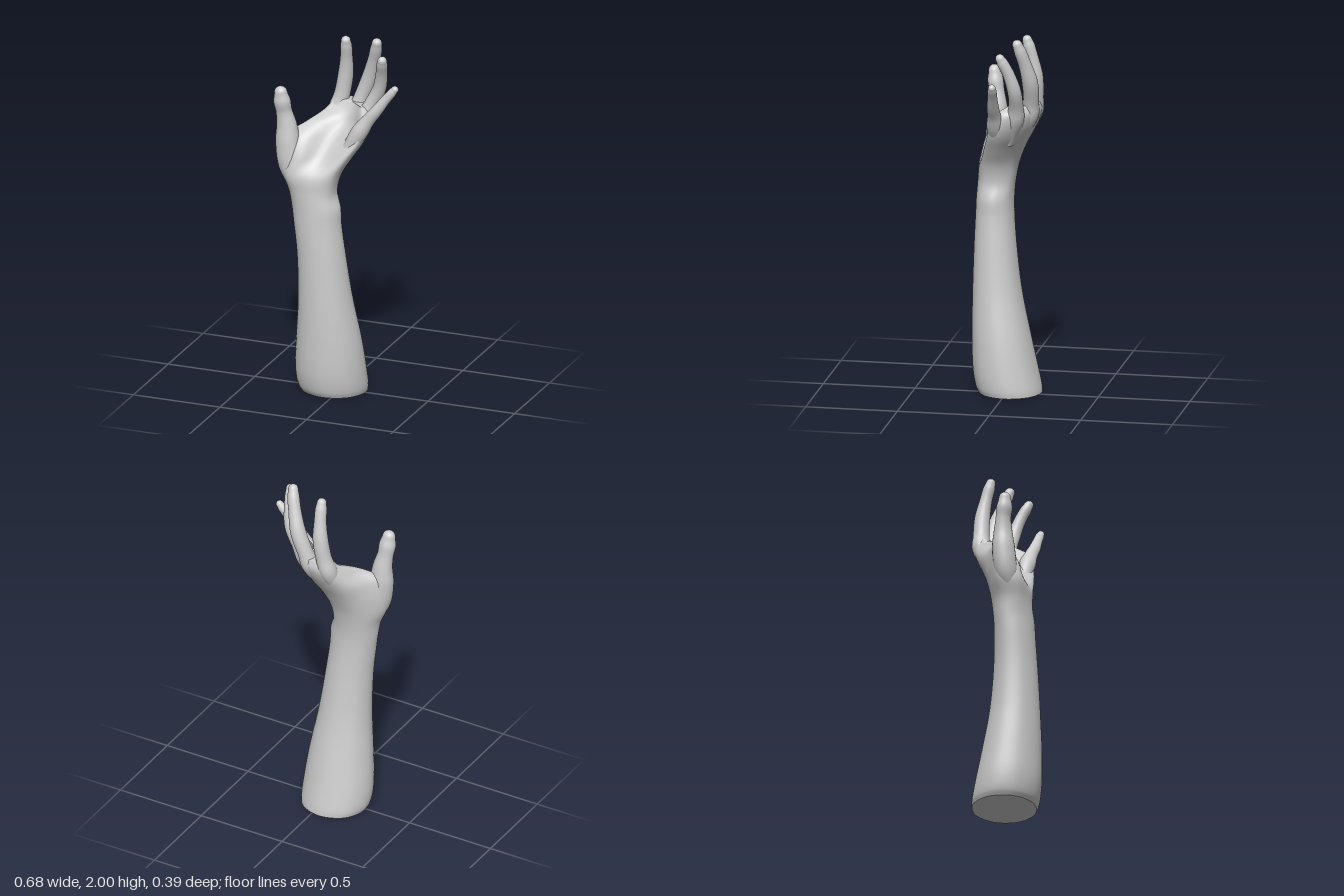
import * as THREE from 'three';

const skin = new THREE.MeshStandardMaterial({ color: 0xcccccc });

// Skin a stack of equal rings (each running -x, -z, +x, +z); close the top, optionally the bottom.
function loft(name, rings, flatBottom) {
  const n = rings[0].length, pos = [], idx = [];
  const add = (p) => pos.push(p.x, p.y, p.z) / 3 - 1;
  const middle = (ring) => ring.reduce((s, p) => s.add(p), new THREE.Vector3()).divideScalar(n);
  rings.forEach((ring) => ring.forEach(add));
  for (let i = 0; i < rings.length - 1; i++) {
    for (let j = 0; j < n; j++) {
      const a = i * n + j, b = i * n + (j + 1) % n;
      idx.push(a, a + n, b, b, a + n, b + n);
    }
  }
  const last = (rings.length - 1) * n;
  const top = add(middle(rings[rings.length - 1]));
  for (let j = 0; j < n; j++) idx.push(top, last + (j + 1) % n, last + j);
  if (flatBottom) {
    // Separate corners keep the cut edge sharp
    const start = pos.length / 3;
    rings[0].forEach(add);
    const c = add(middle(rings[0]));
    for (let j = 0; j < n; j++) idx.push(c, start + j, start + (j + 1) % n);
  }
  const geo = new THREE.BufferGeometry();
  geo.setAttribute('position', new THREE.Float32BufferAttribute(pos, 3));
  geo.setIndex(idx);
  geo.computeVertexNormals();
  const mesh = new THREE.Mesh(geo, skin);
  mesh.name = name;
  return mesh;
}

// Forearm and wrist levels: y, x min, x max, z min, z max
const ARM = [
  [0, -0.23, 0.14, -0.185, 0.16],
  [0.03, -0.243, 0.145, -0.182, 0.175],
  [0.12, -0.25, 0.143, -0.162, 0.192],
  [0.3, -0.237, 0.125, -0.122, 0.198],
  [0.55, -0.217, 0.083, -0.07, 0.197],
  [0.8, -0.22, 0.05, -0.037, 0.192],
  [0.97, -0.238, 0.03, -0.022, 0.187],
  [1.06, -0.25, 0.026, -0.02, 0.184],
];

// Palm levels: y, then eight x, z pairs: thumb edge, back of thumb, index back,
// ring back, little-finger edge, heel, hollow of the palm, thumb pad
const PALM = [
  [1.15, -0.265, 0.09, -0.225, 0.01, -0.14, -0.026, -0.045, -0.01, 0, 0.06, -0.02, 0.14, -0.11, 0.178, -0.22, 0.163],
  [1.25, -0.305, 0.09, -0.25, 0.01, -0.15, -0.045, -0.04, -0.03, 0.02, 0.05, 0, 0.135, -0.1, 0.165, -0.24, 0.175],
  [1.35, -0.315, 0.09, -0.25, 0, -0.14, -0.082, -0.01, -0.068, 0.078, 0.03, 0.055, 0.115, -0.08, 0.09, -0.2, 0.157],
  [1.44, -0.3, 0.08, -0.24, 0, -0.13, -0.125, 0.03, -0.115, 0.135, 0.005, 0.115, 0.085, -0.04, 0.02, -0.19, 0.11],
  [1.51, -0.2, 0.025, -0.175, -0.035, -0.115, -0.155, 0.045, -0.155, 0.16, -0.015, 0.14, 0.068, 0.01, -0.04, -0.14, 0.025],
  [1.57, -0.115, -0.085, -0.115, -0.12, -0.085, -0.175, 0.055, -0.174, 0.16, -0.035, 0.14, 0.04, 0.035, -0.065, -0.07, -0.08],
  [1.615, -0.09, -0.115, -0.09, -0.14, -0.06, -0.17, 0.055, -0.165, 0.12, -0.07, 0.11, -0.03, 0.04, -0.09, -0.05, -0.11],
];

function armAndPalm() {
  const levels = ARM.map(([y, x0, x1, z0, z1]) => Array.from({ length: 8 }, (_, k) => {
    const t = k * Math.PI / 4;
    return new THREE.Vector3((x0 + x1) / 2 - (x1 - x0) / 2 * Math.cos(t), y, (z0 + z1) / 2 - (z1 - z0) / 2 * Math.sin(t));
  }));
  PALM.forEach(([y, ...p]) => levels.push(Array.from({ length: 8 }, (_, k) => new THREE.Vector3(p[2 * k], y, p[2 * k + 1]))));
  // Smooth up the eight columns, then around each ring
  const columns = levels[0].map((_, k) => new THREE.CatmullRomCurve3(levels.map((l) => l[k])));
  const steps = (levels.length - 1) * 6, rings = [];
  for (let i = 0; i <= steps; i++) {
    const loop = new THREE.CatmullRomCurve3(columns.map((c) => c.getPoint(i / steps)), true);
    rings.push(Array.from({ length: 48 }, (_, j) => loop.getPoint(j / 48)));
  }
  return loft('forearmAndPalm', rings, true);
}

// Round-ended digit along x, y, z, radius stations; depth scales its front-to-back thickness
function digit(name, stations, depth = 1) {
  const path = new THREE.CatmullRomCurve3(stations.map((s) => new THREE.Vector3(s[0], s[1], s[2])));
  const girth = new THREE.SplineCurve(stations.map((s, i) => new THREE.Vector2(i, s[3])));
  const rings = [];
  const ring = (centre, tangent, r) => {
    const u = new THREE.Vector3().crossVectors(tangent, new THREE.Vector3(0, 0, 1)).normalize();
    const v = new THREE.Vector3().crossVectors(u, tangent);
    rings.push(Array.from({ length: 24 }, (_, j) => {
      const t = j * Math.PI / 12;
      return centre.clone().addScaledVector(u, -r * Math.cos(t)).addScaledVector(v, -r * depth * Math.sin(t));
    }));
  };
  const steps = (stations.length - 1) * 6;
  for (let i = 0; i <= steps; i++) {
    ring(path.getPoint(i / steps), path.getTangent(i / steps), girth.getPoint(i / steps).y);
  }
  // Fingertip dome
  const tip = path.getPoint(1), dir = path.getTangent(1), r = stations[stations.length - 1][3];
  for (let i = 1; i < 7; i++) {
    const a = i * Math.PI / 14;
    ring(tip.clone().addScaledVector(dir, r * Math.sin(a)), dir, r * Math.cos(a));
  }
  return loft(name, rings, false);
}

export function createModel() {
  const group = new THREE.Group();
  group.name = 'forearmWithOpenHand';
  group.add(
    armAndPalm(),
    digit('thumb', [
      [-0.215, 1.18, 0.11, 0.045], [-0.252, 1.29, 0.105, 0.066], [-0.27, 1.42, 0.1, 0.067],
      [-0.275, 1.51, 0.1, 0.056], [-0.288, 1.59, 0.108, 0.045], [-0.295, 1.65, 0.118, 0.047], [-0.3, 1.7, 0.124, 0.036],
    ], 0.9),
    digit('indexFinger', [
      [-0.1, 1.42, -0.075, 0.035], [-0.075, 1.55, -0.135, 0.05], [-0.055, 1.63, -0.147, 0.044],
      [-0.035, 1.75, -0.15, 0.042], [-0.025, 1.85, -0.135, 0.034], [-0.02, 1.92, -0.118, 0.032], [-0.018, 1.955, -0.108, 0.026],
    ]),
    digit('middleFinger', [
      [0, 1.42, -0.06, 0.035], [0.035, 1.55, -0.13, 0.05], [0.06, 1.63, -0.145, 0.043],
      [0.105, 1.75, -0.147, 0.043], [0.138, 1.86, -0.125, 0.035], [0.158, 1.93, -0.105, 0.033], [0.168, 1.973, -0.09, 0.027],
    ]),
    digit('ringFinger', [
      [0.05, 1.4, -0.02, 0.035], [0.105, 1.54, -0.065, 0.05], [0.14, 1.62, -0.078, 0.04],
      [0.188, 1.72, -0.077, 0.037], [0.212, 1.82, -0.05, 0.032], [0.225, 1.88, -0.022, 0.03], [0.232, 1.908, -0.008, 0.025],
    ]),
    digit('littleFinger', [
      [0.05, 1.38, 0.05, 0.035], [0.12, 1.5, 0.04, 0.046], [0.17, 1.575, 0.036, 0.036],
      [0.217, 1.635, 0.034, 0.032], [0.265, 1.7, 0.027, 0.026], [0.3, 1.745, 0.022, 0.024], [0.316, 1.765, 0.02, 0.02],
    ]),
  );
  return group;
}
